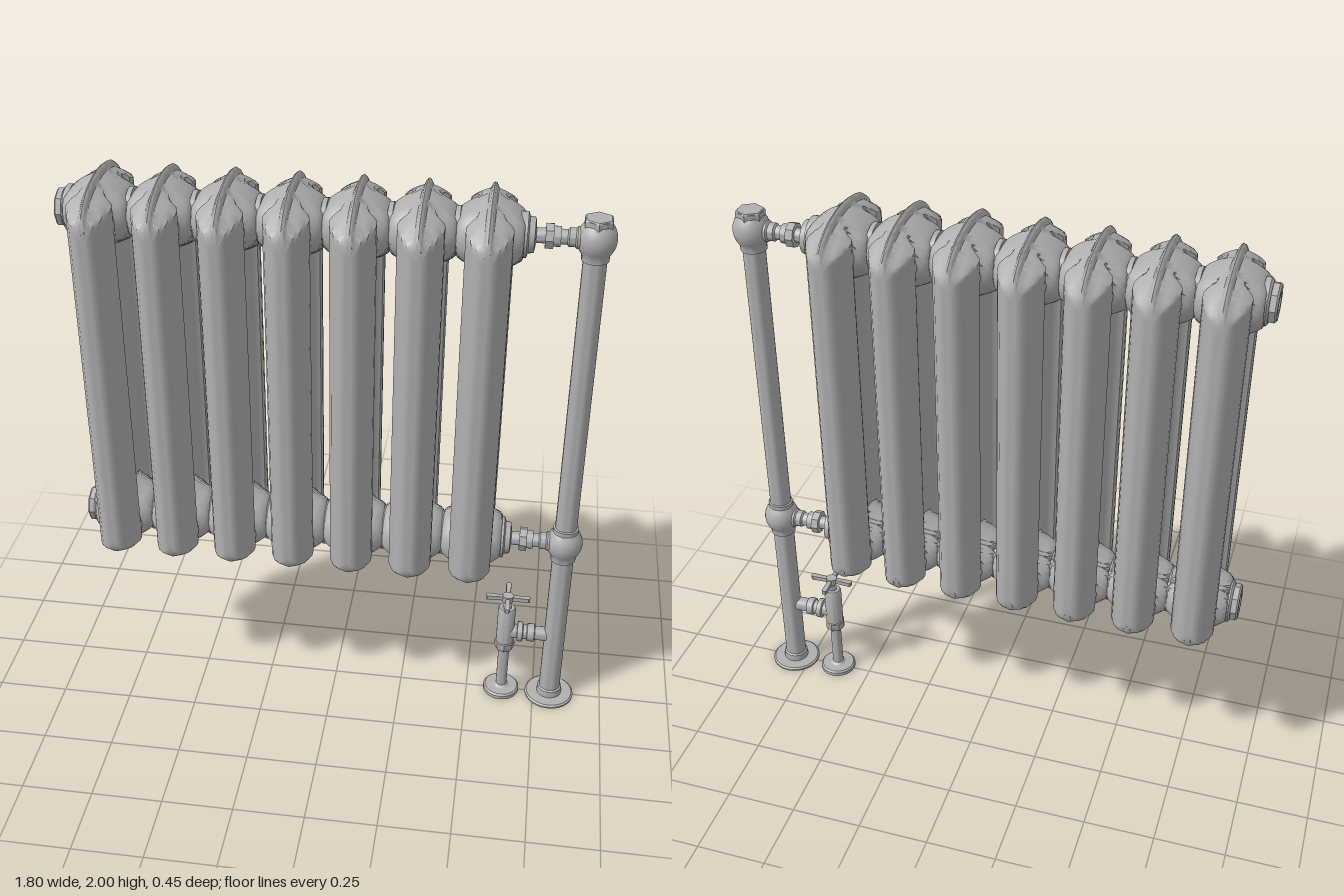
import * as THREE from 'three';
import { toCreasedNormals } from 'three/addons/utils/BufferGeometryUtils.js';

const HUBS = [0.705, 1.865];
const PITCH = 0.2075;
const FIRST = -0.76;

// Linear interpolation through [position, value] pairs.
function sample(table, t) {
  if (t <= table[0][0]) return table[0][1];
  for (let i = 1; i < table.length; i++) {
    const [a, va] = table[i - 1], [b, vb] = table[i];
    if (t <= b) return va + (vb - va) * (t - a) / (b - a);
  }
  return table[table.length - 1][1];
}

// Side outline of a section, by distance from its middle.
const TOP = [[0, 2], [0.05, 1.997], [0.1, 1.988], [0.14, 1.976], [0.165, 1.963], [0.19, 1.947], [0.21, 1.928], [0.22, 1.91], [0.225, 1.87]];
const BOTTOM = [[0, 0.592], [0.03, 0.596], [0.06, 0.611], [0.09, 0.618], [0.16, 0.624], [0.19, 0.635], [0.21, 0.65], [0.22, 0.665], [0.225, 0.7]];
// Half width of the columns with the hollow between them.
const COLUMN = [[0, 0.025], [0.05, 0.029], [0.08, 0.038], [0.097, 0.05], [0.105, 0.068], [0.12, 0.073], [0.14, 0.072], [0.17, 0.062],
  [0.2, 0.045], [0.217, 0.026], [0.222, 0.009], [0.225, 0]];
// Half width of the hubs, and the limits near the top and bottom edges.
const HUB = [[0.075, 0.104], [0.085, 0.098], [0.097, 0.075], [0.108, 0.045], [0.118, 0]];
const TOP_FIN = [[0, 0], [0.004, 0.006], [0.022, 0.014], [0.032, 0.038], [0.05, 0.072], [0.075, 0.104]];
const BOTTOM_FIN = [[0, 0], [0.004, 0.012], [0.012, 0.036], [0.03, 0.07], [0.06, 0.104]];

function sectionGeometry() {
  const half = [0.02, 0.04, 0.055, 0.07, 0.08, 0.09, 0.097, 0.105, 0.12, 0.14, 0.155, 0.17, 0.185, 0.2, 0.21, 0.217, 0.222, 0.225];
  const zs = [...half.map(z => -z).reverse(), 0, ...half];
  const steps = [0, 0.004, 0.012, 0.022, 0.032, 0.042];
  for (let d = 0.055; d < 0.26; d += 0.0125) steps.push(d);
  const rows = steps.length * 2;
  const pos = [], index = [];
  for (const side of [1, -1]) {
    const base = pos.length / 3;
    for (const z of zs) {
      const a = Math.abs(z), top = sample(TOP, a), bottom = sample(BOTTOM, a);
      for (let j = 0; j < rows; j++) {
        const y = j < steps.length ? bottom + steps[j] : top - steps[rows - 1 - j];
        const hub = Math.max(...HUBS.map(h => sample(HUB, Math.hypot(y - h, a * 0.93))));
        const w = Math.min(Math.max(sample(COLUMN, a), hub), sample(TOP_FIN, top - y), sample(BOTTOM_FIN, y - bottom));
        pos.push(side * w, y, z);
      }
    }
    for (let i = 0; i < zs.length - 1; i++) {
      for (let j = 0; j < rows - 1; j++) {
        const p = base + i * rows + j, q = p + rows;
        if (side > 0) index.push(p, p + 1, q, q, p + 1, q + 1);
        else index.push(p, q, p + 1, q, q + 1, p + 1);
      }
    }
  }
  const g = new THREE.BufferGeometry();
  g.setAttribute('position', new THREE.Float32BufferAttribute(pos, 3));
  g.setIndex(index);
  return toCreasedNormals(g, 0.75);
}

export function createModel() {
  const model = new THREE.Group();
  const grey = new THREE.MeshStandardMaterial({ color: 0xb0b0b0 });
  grey.name = 'painted grey iron';

  function add(name, geometry, x = 0, y = 0, z = 0) {
    const mesh = new THREE.Mesh(geometry, grey);
    mesh.name = name;
    mesh.position.set(x, y, z);
    model.add(mesh);
    return mesh;
  }
  // Turned part from [radius, distance] pairs, upright or along x.
  function turned(name, profile, x, y, alongX = false, sides = 28) {
    const points = profile.map(p => new THREE.Vector2(p[0], p[1]));
    const mesh = add(name, toCreasedNormals(new THREE.LatheGeometry(points, sides), 0.6), x, y);
    if (alongX) mesh.rotation.z = -Math.PI / 2;
    return mesh;
  }

  // Radiator sections and the joints between them
  const section = sectionGeometry();
  for (let i = 0; i < 7; i++) {
    const x = FIRST + i * PITCH;
    add('radiatorSection', section, x);
    if (i < 6) {
      for (const y of HUBS) {
        turned('sectionJoint', [[0, -0.008], [0.078, -0.008], [0.078, 0.008], [0, 0.008]], x + PITCH / 2, y, true);
      }
    }
  }

  const pipeX = 0.81;
  for (const y of HUBS) {
    // Blanking plug on the far end
    turned('endPlugCollar', [[0, -0.875], [0.066, -0.875], [0.074, -0.868], [0.074, -0.85], [0, -0.85]], 0, y, true);
    turned('endPlug', [[0, -0.892], [0.03, -0.892], [0.034, -0.9], [0.058, -0.9], [0.064, -0.894], [0.064, -0.87], [0, -0.87]], 0, y, true, 8);
    // Bushing, union nut and short pipe to the riser
    turned('bushing', [[0, 0.57], [0.072, 0.57], [0.072, 0.597], [0.058, 0.602], [0.055, 0.62], [0.03, 0.624], [0, 0.624]], 0, y, true);
    turned('connectingPipe', [[0.024, 0.61], [0.024, 0.72], [0.03, 0.725], [0.03, 0.745], [0.035, 0.75], [0.035, 0.79]], 0, y, true);
    turned('unionNut', [[0, 0.652], [0.042, 0.652], [0.042, 0.678], [0, 0.678]], 0, y, true, 8);
    turned('unionCollar', [[0, 0.678], [0.032, 0.678], [0.032, 0.7], [0, 0.7]], 0, y, true);
    // Ball fitting on the riser
    turned('ballFitting', [[0.038, -0.072], [0.044, -0.07], [0.044, -0.052], [0.054, -0.036], [0.061, -0.018], [0.063, 0],
      [0.061, 0.018], [0.054, 0.036], [0.044, 0.05], [0.044, 0.066], [0.038, 0.068]], pipeX, y);
  }

  // Riser with its cap and floor flange
  turned('riserPipe', [[0.038, 0], [0.038, 1.9]], pipeX, 0);
  turned('riserCap', [[0, 1.9], [0.049, 1.9], [0.049, 1.93], [0.045, 1.935], [0, 1.935]], pipeX, 0, false, 6);
  turned('riserFlange', [[0, 0], [0.09, 0], [0.09, 0.006], [0.084, 0.011], [0.046, 0.013], [0.044, 0.038], [0.038, 0.042]], pipeX, 0);

  // Valve: foot, tail pipe, body and stem
  const valveX = 0.63;
  turned('valveFlange', [[0.02, 0], [0.066, 0], [0.066, 0.014], [0.06, 0.02], [0.03, 0.022], [0.02, 0.03]], valveX, 0);
  turned('valvePipe', [[0, 0.004], [0.02, 0.004], [0.02, 0.21]], valveX, 0);
  turned('valveNut', [[0.02, 0.2], [0.032, 0.202], [0.037, 0.212], [0.037, 0.235], [0.033, 0.24]], valveX, 0, false, 8);
  turned('valveBody', [[0, 0.236], [0.032, 0.236], [0.032, 0.385], [0.028, 0.392], [0, 0.392]], valveX, 0);
  turned('valveStem', [[0.016, 0.39], [0.016, 0.402], [0.01, 0.405], [0.01, 0.43]], valveX, 0);

  // Branch from the valve to the riser
  turned('valveBranch', [[0.026, 0.64], [0.026, 0.672], [0.037, 0.674], [0.037, 0.692], [0.027, 0.695], [0.027, 0.708],
    [0.033, 0.71], [0.033, 0.735], [0.026, 0.738], [0.026, 0.79]], 0, 0.283, true, 16);

  // Cross handle with arms widening outwards
  turned('handleBoss', [[0, 0.422], [0.02, 0.422], [0.02, 0.446], [0, 0.446]], valveX, 0, false, 16);
  const arm = new THREE.Shape([[0, -0.006], [0.074, -0.01], [0.08, -0.006], [0.08, 0.006], [0.074, 0.01], [0, 0.006]]
    .map(p => new THREE.Vector2(p[0], p[1])));
  const armGeometry = new THREE.ExtrudeGeometry(arm, { depth: 0.016, bevelEnabled: false }).rotateX(-Math.PI / 2);
  for (let i = 0; i < 4; i++) {
    add('handleArm', armGeometry, valveX, 0.426).rotation.y = i * Math.PI / 2;
  }
  return model;
}
